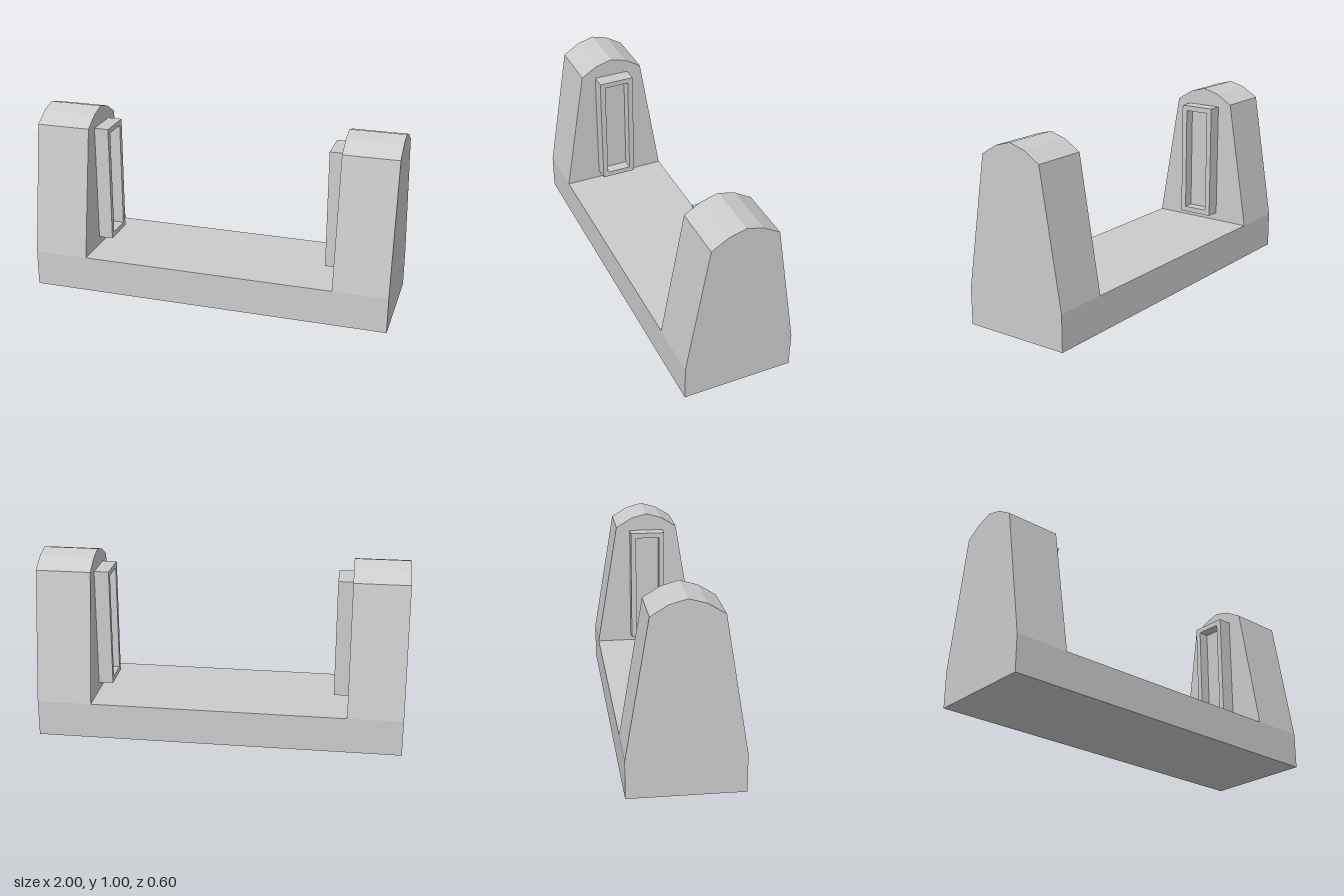
import * as THREE from 'three';

const material = new THREE.MeshStandardMaterial({ color: 0xcccccc, flatShading: true });

function addMesh(parent, name, geometry) {
  const mesh = new THREE.Mesh(geometry, material);
  mesh.name = name;
  parent.add(mesh);
  return mesh;
}

// Extrudes a z/y outline along x, from x0 to x1
function extrudeAlongX(shape, x0, x1) {
  return new THREE.ExtrudeGeometry(shape, { depth: x1 - x0, bevelEnabled: false })
    .rotateY(Math.PI / 2)
    .translate(x0, 0, 0);
}

function rectPoints(halfWidth, bottom, top) {
  return [[-halfWidth, bottom], [halfWidth, bottom], [halfWidth, top], [-halfWidth, top]]
    .map(([z, y]) => new THREE.Vector2(z, y));
}

export function createModel() {
  const model = new THREE.Group();
  model.name = 'cradle';

  // Slab joining the two end posts
  addMesh(model, 'base', new THREE.BoxGeometry(1.4, 0.2, 0.6).translate(0, 0.1, 0));

  // Tapered post outline with a faceted crown
  const half = [[0.3, 0], [0.3, 0.2], [0.18, 0.92], [0.09, 0.975]];
  const outline = [
    ...half,
    [0, 1],
    ...half.map(([z, y]) => [-z, y]).reverse(),
  ].map(([z, y]) => new THREE.Vector2(z, y));
  const postShape = new THREE.Shape(outline);

  // Rectangular rim around the recess on each inner face
  const bottom = 0.245, top = 0.9, rim = 0.03;
  const rimShape = new THREE.Shape(rectPoints(0.1, bottom, top));
  rimShape.holes.push(new THREE.Path(rectPoints(0.1 - rim, bottom + rim, top - rim)));
  const panelShape = new THREE.Shape(rectPoints(0.1, bottom, top));

  for (const [side, s] of [['left', 1], ['right', -1]]) {
    const span = (shape, a, b) => extrudeAlongX(shape, Math.min(s * a, s * b), Math.max(s * a, s * b));
    const end = new THREE.Group();
    end.name = `${side}End`;
    addMesh(end, `${side}Post`, span(postShape, 0.7, 1));
    addMesh(end, `${side}SlotRim`, span(rimShape, 0.62, 0.68));
    addMesh(end, `${side}SlotBack`, span(panelShape, 0.68, 0.7));
    model.add(end);
  }

  return model;
}
